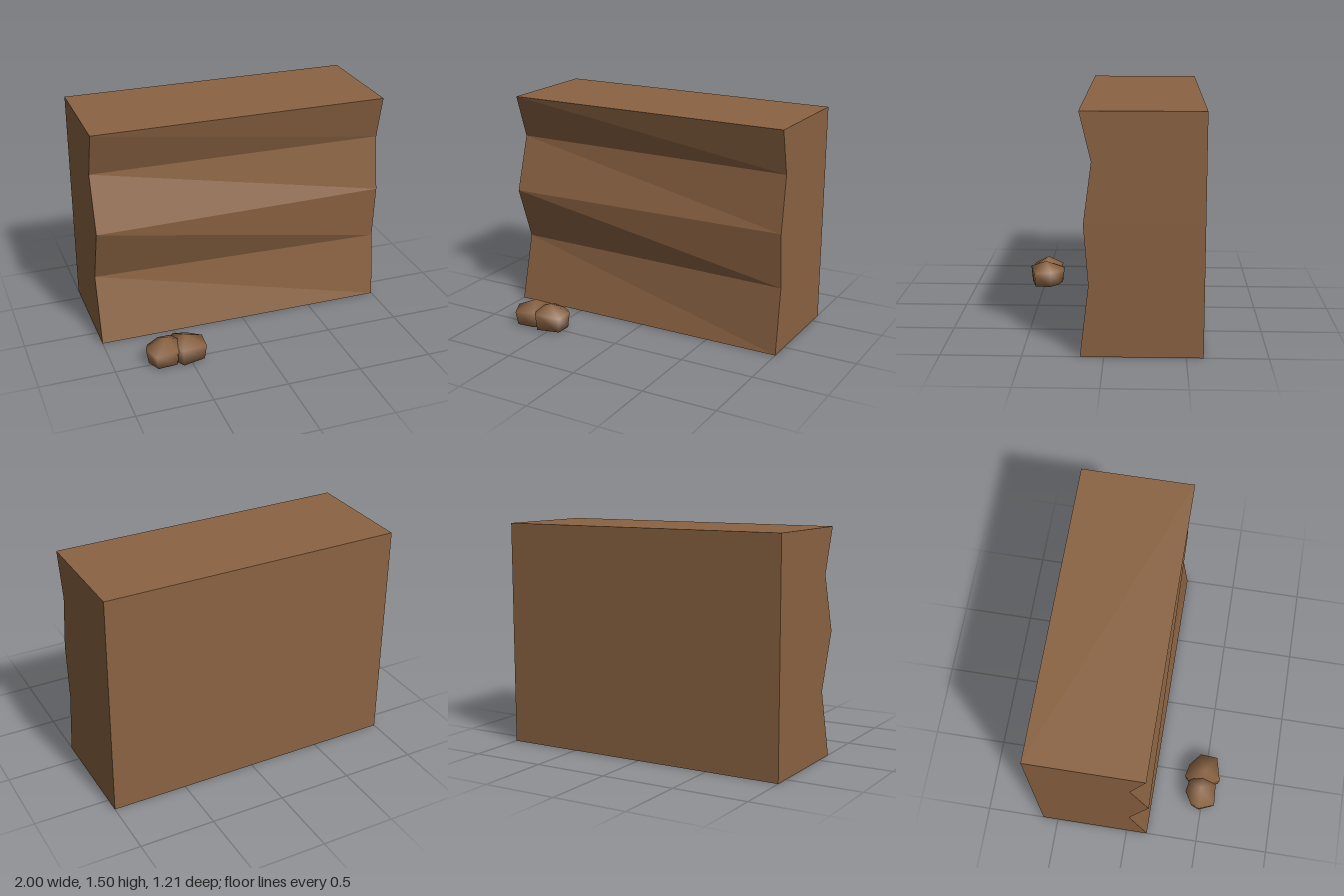
import * as THREE from 'three';

const earth = new THREE.MeshStandardMaterial({ color: 0x8b6342 });
earth.name = 'earth brown';

// Cliff: two matching side profiles joined by flat-shaded strips
function cliffGeometry() {
  const back = -0.605;
  // height, front z at the left-hand (-x) end, front z at the +x end
  const levels = [[0, 0.145, 0.145], [0.45, 0.025, 0.092], [0.825, 0.16, 0.122], [1.2, 0.043, 0.073], [1.5, 0.145, 0.145]];
  const pos = [];
  const quad = (a, b, c, d) => pos.push(...a, ...b, ...d, ...b, ...c, ...d);
  for (let i = 0; i < levels.length - 1; i++) {
    const [y0, l0, r0] = levels[i], [y1, l1, r1] = levels[i + 1];
    quad([-1, y0, l0], [1, y0, r0], [1, y1, r1], [-1, y1, l1]);
    quad([1, y0, r0], [1, y0, back], [1, y1, back], [1, y1, r1]);
    quad([-1, y0, back], [-1, y0, l0], [-1, y1, l1], [-1, y1, back]);
  }
  quad([1, 0, back], [-1, 0, back], [-1, 1.5, back], [1, 1.5, back]);
  quad([-1, 1.5, 0.145], [1, 1.5, 0.145], [1, 1.5, back], [-1, 1.5, back]);
  quad([-1, 0, back], [1, 0, back], [1, 0, 0.145], [-1, 0, 0.145]);
  const g = new THREE.BufferGeometry();
  g.setAttribute('position', new THREE.Float32BufferAttribute(pos, 3));
  g.computeVertexNormals();
  return g;
}

// Boulder: peak, widest ring, narrower foot ring and base point, smoothly shaded
function boulderGeometry(peak, ring, foot) {
  const n = ring.length;
  const [px, , pz] = peak;
  const pos = [...peak];
  ring.forEach(p => pos.push(...p));
  ring.forEach(([x, , z]) => pos.push(px + (x - px) * foot, 0.01, pz + (z - pz) * foot));
  pos.push(px, 0, pz);
  const index = [];
  for (let i = 0; i < n; i++) {
    const j = (i + 1) % n;
    const a = 1 + i, b = 1 + j, c = a + n, d = b + n;
    index.push(0, a, b, a, c, d, a, d, b, c, 2 * n + 1, d);
  }
  const g = new THREE.BufferGeometry();
  g.setAttribute('position', new THREE.Float32BufferAttribute(pos, 3));
  g.setIndex(index);
  g.computeVertexNormals();
  return g;
}

export function createModel() {
  const model = new THREE.Group();
  model.name = 'cliffWithBoulders';
  const add = (name, geometry) => {
    const mesh = new THREE.Mesh(geometry, earth);
    mesh.name = name;
    model.add(mesh);
  };
  add('cliff', cliffGeometry());
  add('leftBoulder', boulderGeometry([-0.65, 0.178, 0.48], [
    [-0.79, 0.115, 0.485], [-0.745, 0.1, 0.59], [-0.6, 0.12, 0.58],
    [-0.54, 0.14, 0.49], [-0.6, 0.13, 0.39], [-0.68, 0.12, 0.375], [-0.765, 0.11, 0.425],
  ], 0.88));
  add('rightBoulder', boulderGeometry([-0.52, 0.175, 0.49], [
    [-0.63, 0.13, 0.49], [-0.57, 0.125, 0.605], [-0.4, 0.11, 0.565],
    [-0.395, 0.12, 0.445], [-0.48, 0.115, 0.375], [-0.57, 0.115, 0.355], [-0.62, 0.12, 0.41],
  ], 0.9));
  return model;
}
